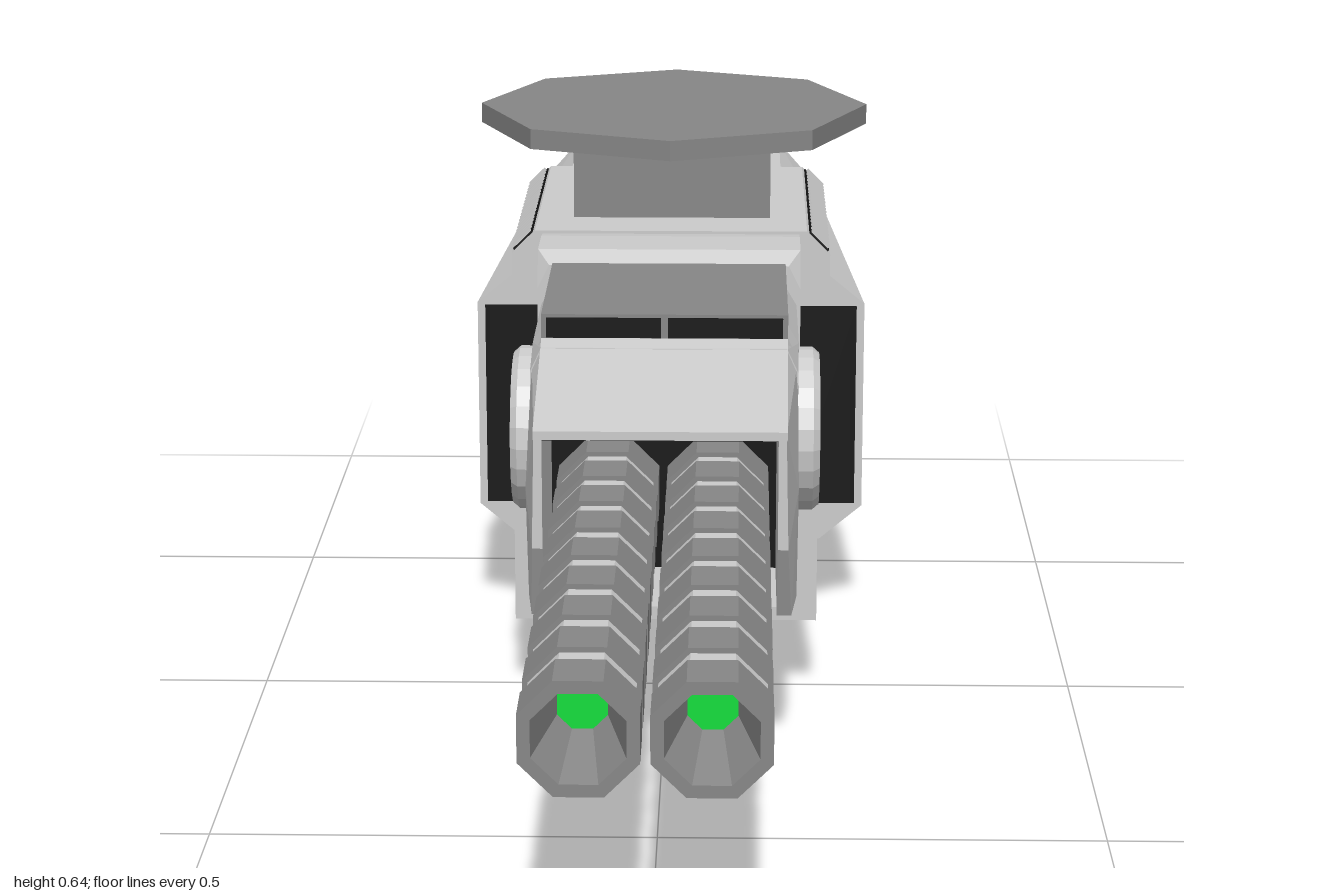
import * as THREE from 'three';
import { ConvexGeometry } from 'three/addons/geometries/ConvexGeometry.js';

const paint = (color) => new THREE.MeshStandardMaterial({ color, flatShading: true, side: THREE.DoubleSide });
const light = paint(0xcccccc), dark = paint(0x878787), black = paint(0x141414), green = paint(0x11dd3c);

export function createModel() {
  const model = new THREE.Group();

  const add = (name, geometry, material = light, parent = model) => {
    const mesh = new THREE.Mesh(geometry, material);
    mesh.name = name;
    parent.add(mesh);
    return mesh;
  };
  // Box from its limits on each axis
  const box = (name, [x0, x1], [y0, y1], [z0, z1], material, parent) => {
    const mesh = add(name, new THREE.BoxGeometry(x1 - x0, y1 - y0, z1 - z0), material, parent);
    mesh.position.set((x0 + x1) / 2, (y0 + y1) / 2, (z0 + z1) / 2);
    return mesh;
  };
  const solid = (name, points, material) =>
    add(name, new ConvexGeometry(points.map((p) => new THREE.Vector3(...p))), material);
  // Symmetric block from half cross-sections [z, [[x, y], ...]]
  const block = (name, sections, material) =>
    solid(name, sections.flatMap(([z, half]) => half.flatMap(([x, y]) => [[x, y, z], [-x, y, z]])), material);
  const octagon = (r, length, open = false) =>
    new THREE.CylinderGeometry(r, r, length, 8, 1, open, Math.PI / 8).rotateX(Math.PI / 2);

  // Twin barrels: dark sleeves over a light core, with a glowing funnel muzzle
  for (const side of [-1, 1]) {
    const barrel = new THREE.Group();
    barrel.name = side > 0 ? 'leftBarrel' : 'rightBarrel';
    barrel.position.set(side * 0.064, 0.307, 0);
    model.add(barrel);
    add('barrelCore', octagon(0.058, 0.8, true), light, barrel).position.z = 0.55;
    for (let i = 1; i < 9; i++) {
      add('barrelSleeve', octagon(0.064, 0.062), dark, barrel).position.z = 0.969 - i * 0.097;
    }
    const muzzle = [[0.057, 0.938], [0.064, 0.938], [0.064, 1], [0.05, 1], [0.026, 0.9]]
      .map(([r, z]) => new THREE.Vector2(r, z));
    add('muzzle', new THREE.LatheGeometry(muzzle, 8, Math.PI / 8).rotateX(Math.PI / 2), dark, barrel);
    add('muzzleGlow', octagon(0.027, 0.004), green, barrel).position.z = 0.903;

    // Supports under the barrels
    const x = side * 0.064;
    box('supportLight', [x - 0.014, x + 0.014], [0.19, 0.255], [0.14, 0.18], green);
    box('supportFoot', [x - 0.016, x + 0.016], [0.158, 0.192], [0.08, 0.17], dark);
  }

  // Front housing: rear block, cheeks, hood and floor around the barrel opening
  block('housing', [
    [0.14, [[0.15, 0.19], [0.158, 0.22], [0.158, 0.44], [0.145, 0.468]]],
    [0.04, [[0.145, 0.12], [0.16, 0.19], [0.16, 0.45], [0.145, 0.475]]],
    [-0.17, [[0.145, 0.12], [0.16, 0.19], [0.16, 0.45], [0.145, 0.475]]],
  ]);
  for (const s of [-1, 1]) {
    const cheek = [[0.355, 0.425, 0.142], [0.355, 0.29, 0.145], [0.29, 0.19, 0.15], [0.25, 0.33, 0.158],
      [0.22, 0.19, 0.157], [0.1, 0.19, 0.158], [0.1, 0.445, 0.158], [0.1, 0.472, 0.146]];
    solid('cheek', cheek.flatMap(([z, y, x]) => [[s * x, y, z], [s * 0.133, y, z]]));
  }
  block('hood', [
    [0.355, [[0.143, 0.428], [0.143, 0.418]]],
    [0.1, [[0.146, 0.475], [0.146, 0.35]]],
  ]);
  box('housingFloor', [-0.14, 0.14], [0.188, 0.2], [0.1, 0.29]);
  box('cavityBack', [-0.134, 0.134], [0.2, 0.42], [0.13, 0.144], black);
  block('cavityRoof', [
    [0.35, [[0.133, 0.42], [0.133, 0.416]]],
    [0.12, [[0.133, 0.42], [0.133, 0.35]]],
  ], black);

  // Intake on top of the housing
  box('intake', [-0.146, 0.146], [0.46, 0.502], [-0.16, 0.11], dark);
  for (const s of [-1, 1]) {
    const slot = box('intakeSlot', [-0.068, 0.068], [0.474, 0.498], [0.1, 0.113], black);
    slot.position.x = s * 0.072;
  }

  // Round side hubs and the strap running beneath them
  const rim = [[0.1, 0], [0.1, 0.022], [0.093, 0.03], [0.075, 0.03], [0.062, 0.016]]
    .map(([r, h]) => new THREE.Vector2(r, h));
  for (const s of [-1, 1]) {
    const hub = new THREE.Group();
    hub.name = s > 0 ? 'leftHub' : 'rightHub';
    hub.position.set(s * 0.156, 0.332, 0);
    hub.rotation.z = -s * Math.PI / 2;
    model.add(hub);
    add('hubRim', new THREE.LatheGeometry(rim, 24), light, hub);
    add('hubLight', new THREE.CylinderGeometry(0.063, 0.063, 0.018, 24), green, hub).position.y = 0.009;
    box('strapSide', [s * 0.165 - 0.02, s * 0.165 + 0.02], [0.097, 0.25], [-0.036, 0.036]);
  }
  box('strapBottom', [-0.18, 0.18], [0.097, 0.125], [-0.036, 0.036]);

  // Collar
  block('collar', [
    [-0.15, [[0.15, 0.125], [0.165, 0.15], [0.165, 0.47], [0.15, 0.5]]],
    [-0.175, [[0.165, 0.078], [0.165, 0.515]]],
    [-0.25, [[0.165, 0.078], [0.165, 0.515]]],
    [-0.29, [[0.165, 0.11], [0.165, 0.51]]],
  ]);

  // Main body, tapering to the rear, with recessed dark front panels
  block('body', [
    [-0.28, [[0.195, 0.102], [0.25, 0.148], [0.25, 0.42], [0.205, 0.457]]],
    [-0.69, [[0.16, 0.102], [0.205, 0.148], [0.205, 0.457]]],
  ]);
  for (const s of [-1, 1]) {
    box('frontPanel', [s * 0.2 - 0.04, s * 0.2 + 0.04], [0.152, 0.417], [-0.3, -0.277], black);
  }

  // Upper deck with toothed vents along both chamfers
  const deck = [[0.205, 0.44], [0.205, 0.485], [0.175, 0.515]];
  block('deck', [[-0.28, deck], [-0.69, deck]]);
  for (const s of [-1, 1]) {
    const vent = new THREE.Group();
    vent.name = 'deckVent';
    vent.position.set(s * 0.19, 0.5, -0.485);
    vent.rotation.z = -s * Math.PI / 4;
    model.add(vent);
    box('ventStrip', [-0.017, 0.017], [-0.004, 0.002], [-0.2, 0.2], black, vent);
    for (let i = 0; i < 20; i++) {
      const z = -0.19 + i * 0.02;
      box('ventTooth', [-0.015, 0.015], [0, 0.006], [z - 0.005, z + 0.005], light, vent);
    }
  }

  // Turntable on a square pedestal
  box('pedestal', [-0.128, 0.128], [0.5, 0.62], [-0.615, -0.36], dark);
  add('turntable', new THREE.CylinderGeometry(0.256, 0.256, 0.026, 8), dark).position.set(0, 0.629, -0.488);

  // Rear block with side panels
  block('rearBlock', [
    [-0.68, [[0.17, 0.148], [0.195, 0.17], [0.195, 0.425], [0.19, 0.47], [0.145, 0.515]]],
    [-0.86, [[0.17, 0.148], [0.19, 0.17], [0.19, 0.425], [0.185, 0.47], [0.145, 0.515]]],
    [-0.895, [[0.155, 0.15], [0.165, 0.425], [0.16, 0.46], [0.14, 0.49]]],
  ]);
  for (const s of [-1, 1]) {
    box('sidePanel', [s * 0.188 - 0.009, s * 0.188 + 0.009], [0.152, 0.42], [-0.875, -0.71], dark);
  }

  // Wedge tail with two slatted exhausts
  block('tail', [
    [-0.88, [[0.145, 0.148], [0.145, 0.425]]],
    [-0.895, [[0.145, 0.15], [0.145, 0.42]]],
    [-1, [[0.142, 0.245], [0.142, 0.322]]],
  ], dark);
  const exhaust = new THREE.Group();
  exhaust.name = 'exhaust';
  exhaust.position.set(0, 0.371, -0.9475);
  exhaust.rotation.x = -0.75;
  model.add(exhaust);
  for (const s of [-1, 1]) {
    const x = s * 0.07;
    box('exhaustGrille', [x - 0.06, x + 0.06], [-0.004, 0.002], [-0.055, 0.055], black, exhaust);
    for (let i = -3; i <= 3; i++) {
      box('exhaustSlat', [x + i * 0.017 - 0.004, x + i * 0.017 + 0.004], [0, 0.007], [-0.055, 0.055], dark, exhaust);
    }
  }

  // Belly fins
  for (const s of [-1, 1]) {
    for (let i = 0; i < 4; i++) {
      const fin = box('bellyFin', [-0.045, 0.045], [-0.006, 0.006], [-0.028, 0.028], dark);
      fin.position.set(s * 0.06, 0.094, -0.3 - i * 0.06);
      fin.rotation.x = -0.6;
    }
  }

  // Rear feet with inset panels and struts forward to the belly
  for (const s of [-1, 1]) {
    const foot = [[0.04, 0.15], [0.04, 0.02], [0.05, 0], [0.105, 0], [0.12, 0.03], [0.12, 0.15]];
    solid('foot', foot.flatMap(([x, y]) => [[s * x, y, -0.735], [s * x, y, -0.855]]));
    box('footFrontPanel', [s * 0.073 - 0.027, s * 0.073 + 0.027], [0.01, 0.14], [-0.75, -0.731], dark);
    box('footSidePanel', [s * 0.11 - 0.013, s * 0.11 + 0.013], [0.035, 0.11], [-0.835, -0.755], dark);
    const path = new THREE.LineCurve3(new THREE.Vector3(s * 0.1, 0.022, -0.74), new THREE.Vector3(s * 0.08, 0.103, -0.47));
    add('strut', new THREE.TubeGeometry(path, 1, 0.006, 6), light);
  }
  for (const y of [0.052, 0.077, 0.102]) {
    box('glowRung', [-0.042, 0.042], [y - 0.006, y + 0.006], [-0.85, -0.76], green);
  }

  return model;
}
